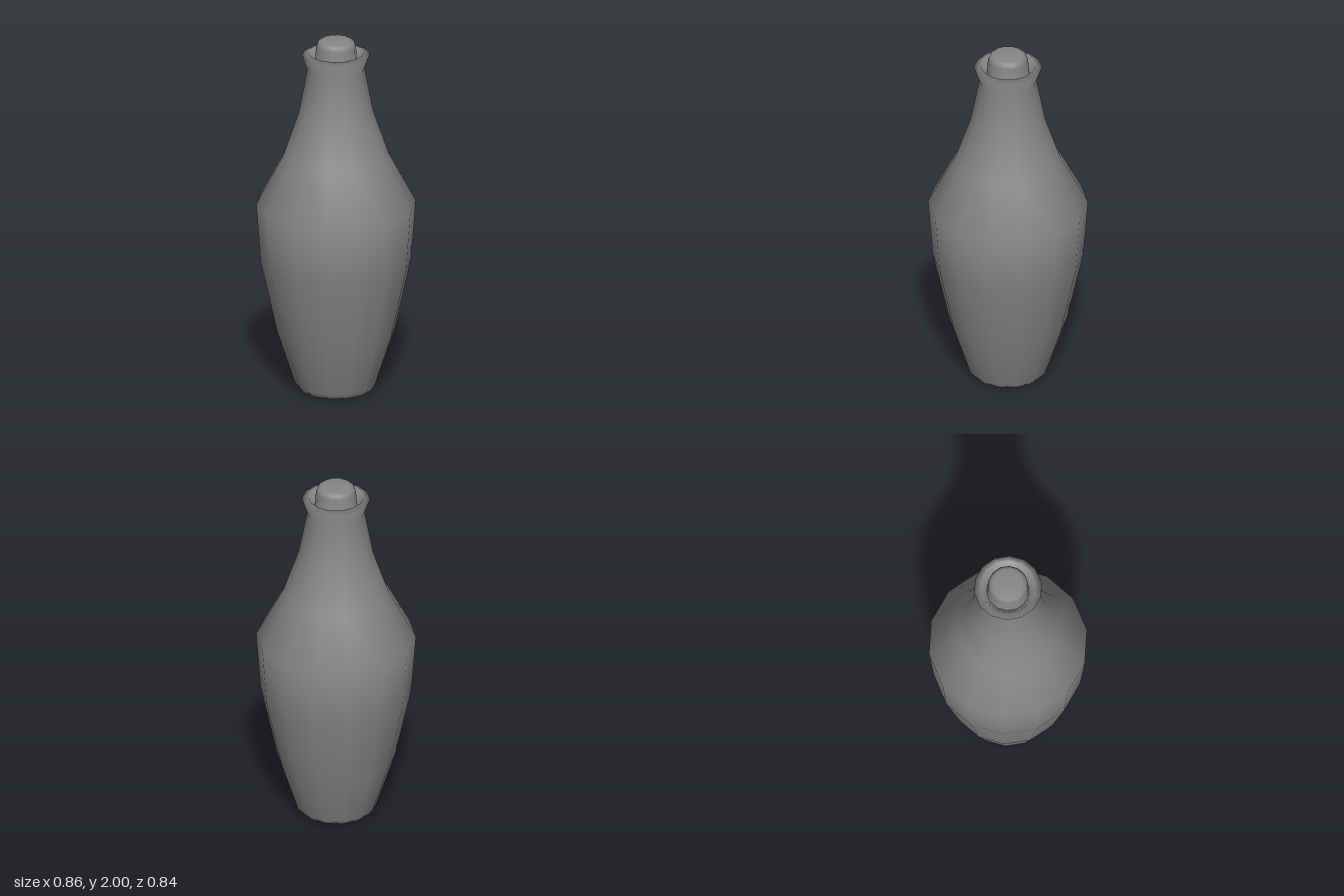
import * as THREE from 'three';

const SIDES = 14;

// Smooth-shaded lathe with a corner on the x axis
function turned(name, profile, material) {
  const points = profile.map(([r, y]) => new THREE.Vector2(r, y));
  const mesh = new THREE.Mesh(new THREE.LatheGeometry(points, SIDES, Math.PI / 2), material);
  mesh.name = name;
  return mesh;
}

export function createModel() {
  const group = new THREE.Group();
  group.name = 'bottle';
  const material = new THREE.MeshStandardMaterial({ color: 0x868686, side: THREE.DoubleSide });

  // Body, neck, flared lip and the groove inside the mouth
  group.add(turned('bottleBody', [
    [0, 0], [0.198, 0.004], [0.222, 0.035], [0.318, 0.33], [0.406, 0.73],
    [0.431, 1.065], [0.285, 1.34], [0.2, 1.59], [0.155, 1.835],
    [0.184, 1.916], [0.148, 1.928], [0.124, 1.88], [0.1, 1.875],
  ], material));

  // Stopper flaring into the groove, with a rounded top
  group.add(turned('stopper', [
    [0.13, 1.87], [0.113, 1.88], [0.108, 1.965], [0.099, 1.987], [0.08, 2], [0, 2],
  ], material));

  return group;
}
